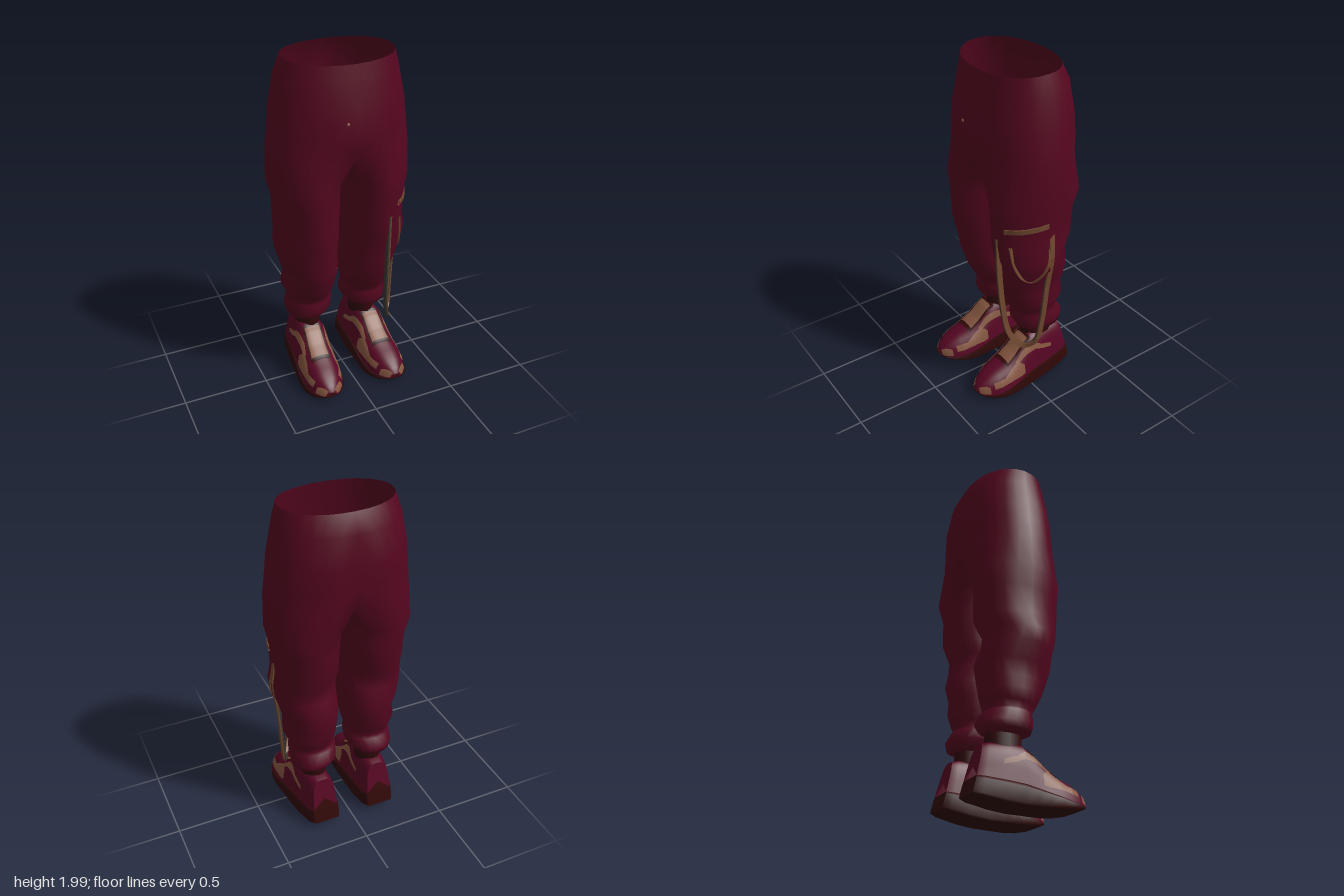
import * as THREE from 'three';
import { mergeVertices, mergeGeometries } from 'three/addons/utils/BufferGeometryUtils.js';

const mat = (name, color, side = THREE.DoubleSide) => {
  const m = new THREE.MeshStandardMaterial({ color, side });
  m.name = name;
  return m;
};
const spow = (v, p) => Math.sign(v) * Math.pow(Math.abs(v), p);

// Surface through a list of equal-length rings; side -1 mirrors it across x
function loft(rings, closed, side = 1) {
  const n = rings[0].length, pos = [], idx = [];
  rings.forEach(r => r.forEach(([x, y, z]) => pos.push(x * side, y, z)));
  for (let j = 0; j < rings.length - 1; j++) {
    for (let i = 0; i < (closed ? n : n - 1); i++) {
      const k = (i + 1) % n;
      const a = j * n + i, b = j * n + k, c = a + n, d = b + n;
      if (side > 0) idx.push(a, c, b, b, c, d);
      else idx.push(a, b, c, b, d, c);
    }
  }
  const g = new THREE.BufferGeometry();
  g.setAttribute('position', new THREE.Float32BufferAttribute(pos, 3));
  g.setIndex(idx);
  g.computeVertexNormals();
  return g;
}

// Linear lookup in a table whose first column is the key, in ascending order
function lookup(table, key) {
  let i = 0;
  while (i < table.length - 2 && key > table[i + 1][0]) i++;
  const a = table[i], b = table[i + 1];
  const t = Math.min(1, Math.max(0, (key - a[0]) / (b[0] - a[0])));
  return a.map((v, k) => v + (b[k] - v) * t);
}

// Hips: y, half width, front z, back z
const HIPS = [
  [2.0, 0.315, 0.17, -0.265], [1.9, 0.345, 0.185, -0.315], [1.73, 0.378, 0.215, -0.345],
  [1.6, 0.392, 0.22, -0.345], [1.5, 0.405, 0.22, -0.34],
];
// Leg: y, inner x, outer x, front z, back z
const LEG = [
  [0.385, 0.107, 0.253, -0.015, -0.217], [0.4, 0.075, 0.31, 0.025, -0.255], [0.44, 0.045, 0.315, 0.045, -0.27],
  [0.5, 0.04, 0.312, 0.04, -0.235], [0.515, 0.06, 0.3, 0.035, -0.22], [0.55, 0.045, 0.315, 0.06, -0.235],
  [0.61, 0.03, 0.342, 0.085, -0.25], [0.68, 0.022, 0.326, 0.115, -0.255], [0.77, 0.02, 0.35, 0.145, -0.28],
  [0.87, 0.018, 0.385, 0.165, -0.25], [0.95, 0.016, 0.395, 0.18, -0.235], [1.03, 0.015, 0.38, 0.19, -0.285],
  [1.2, 0.01, 0.385, 0.21, -0.3], [1.3, 0.006, 0.408, 0.213, -0.318],
];
const ARC = 14, INNER = 6;

function hipPoint([y, rx, zf, zb], a) {
  const c = Math.max(0, Math.cos(a)), s = Math.sin(a);
  const x = rx * Math.pow(c, 0.93);
  let z = (zf + zb) / 2 + (zf - zb) / 2 * spow(s, 0.93);
  if (s < 0 && y < 1.85) z += 0.025 * Math.exp(-x * x / 0.003);  // seat cleft
  return [c < 1e-6 ? 0 : x, y - (y > 1.95 && s > 0 ? 0.015 * s : 0), z];
}

function legPoint(y, a) {
  const [, xi, xo, zf, zb] = lookup(LEG, y);
  const s = Math.sin(a);
  const p = s > 0 && y > 0.8 ? 1.12 : 0.93;  // front of the thigh comes to a soft crease
  const fold = y > 0.52 ? 1 + 0.03 * Math.sin(2 * a + y * 17) * s * s : 1;
  return [
    (xi + xo) / 2 + (xo - xi) / 2 * spow(Math.cos(a), p),
    y,
    (zf + zb) / 2 + (zf - zb) / 2 * spow(s, p) * fold,
  ];
}

// Point on the outer face of the leg at a given height and depth
function onLeg(z, y, lift) {
  let best = null;
  for (let a = -1.5; a <= 1.5; a += 0.02) {
    const p = legPoint(y, a);
    if (!best || Math.abs(p[2] - z) < Math.abs(best[2] - z)) best = p;
  }
  return new THREE.Vector3(best[0] + lift, y, best[2] + lift * 0.5);
}

function trouserGeometry() {
  const parts = [];
  const arc = row => Array.from({ length: ARC + 1 }, (_, i) => hipPoint(row, Math.PI / 2 - Math.PI * i / ARC));
  // Leg top: half of the hip ring closed by the sagging crotch seam
  const top = arc(HIPS[HIPS.length - 1]);
  const front = top[0], back = top[ARC];
  for (let i = 1; i < INNER; i++) {
    const t = i / INNER;
    top.push([0, 1.5 - 0.15 * Math.pow(Math.sin(Math.PI * t), 0.6), back[2] + (front[2] - back[2]) * t]);
  }
  const split = 2.2;
  const angles = [];
  for (let i = 0; i <= ARC; i++) angles.push(split - 2 * split * i / ARC);
  for (let i = 1; i < INNER; i++) angles.push(-split - (2 * Math.PI - 2 * split) * i / INNER);
  const rings = [top, ...LEG.slice().reverse().map(r => angles.map(a => legPoint(r[0], a)))];
  for (const side of [1, -1]) parts.push(loft(HIPS.map(arc), false, side), loft(rings, true, side));
  parts.forEach(p => p.deleteAttribute('normal'));
  const g = mergeVertices(mergeGeometries(parts), 1e-4);
  g.computeVertexNormals();
  return g;
}

// Flat ribbon along a path lying mostly in the y-z plane, between two x offsets
function ribbon(path, half, x0, x1) {
  const curve = new THREE.CatmullRomCurve3(path);
  const rings = [];
  for (let i = 0; i <= 40; i++) {
    const p = curve.getPoint(i / 40), t = curve.getTangent(i / 40);
    const l = Math.hypot(t.y, t.z), ny = -t.z / l * half, nz = t.y / l * half;
    rings.push([[x0, -1], [x0, 1], [x1, 1], [x1, -1]].map(([dx, k]) => [p.x + dx, p.y + k * ny, p.z + k * nz]));
  }
  const g = loft(rings, true).toNonIndexed();
  g.computeVertexNormals();
  return g;
}

// Shoe: z, half width, top y, sole top y, sole bottom y
const SHOE = [
  [-0.31, 0.075, 0.32, 0.14, 0.05], [-0.27, 0.093, 0.33, 0.135, 0.04], [-0.15, 0.105, 0.34, 0.125, 0.02],
  [-0.05, 0.11, 0.335, 0.115, 0.01], [0.02, 0.113, 0.295, 0.1, 0.01], [0.08, 0.118, 0.24, 0.085, 0.01],
  [0.15, 0.12, 0.195, 0.07, 0.01], [0.22, 0.112, 0.17, 0.055, 0.015], [0.28, 0.088, 0.14, 0.05, 0.025],
  [0.32, 0.055, 0.11, 0.05, 0.04], [0.34, 0.025, 0.08, 0.055, 0.05],
];
const shoeX = z => 0.177 + 0.033 * (z + 0.31) / 0.65;
const lean = (z, y) => z < 0 ? z - z * 0.8 * (y - 0.1) : z;  // heel slopes forward

function upperPoint(z, s, lift = 0) {
  const [, w, h, ys] = lookup(SHOE, z);
  const t = s * Math.PI / 2, c = Math.max(0, Math.cos(t));
  const box = THREE.MathUtils.smoothstep(z, -0.08, 0.15);  // boxy ankle, round toe
  const cy = Math.pow(c, 0.5 + 0.2 * box);
  const x = (w + lift) * spow(Math.sin(t), 0.55 + 0.25 * box) * (1 - 0.2 * cy);
  const y = ys + (h - ys) * cy + lift * c;
  return [shoeX(z) + x, y, lean(z, y)];
}
// Thin patch on the shoe, rows of [z, s from, s to]
function patch(rows, lift, side) {
  const steps = [];
  for (let z = rows[0][0]; z < rows[rows.length - 1][0]; z += 0.01) steps.push(lookup(rows, z));
  steps.push(rows[rows.length - 1]);
  return loft(steps.map(([z, a, b]) =>
    Array.from({ length: 13 }, (_, i) => upperPoint(z, a + (b - a) * i / 12, lift))), false, side);
}
const flip = rows => rows.map(([z, a, b]) => [z, -b, -a]);

export function createModel() {
  const model = new THREE.Group();
  const cloth = mat('maroonCloth', 0x55061f);
  const leather = mat('maroonLeather', 0x560623);
  const dark = mat('darkBrown', 0x310808);
  const tan = mat('tan', 0x855640);
  const trim = mat('brownTrim', 0x70482f);
  const grey = mat('strapLining', 0x3c3830);
  const add = (name, geo, material, parent = model) => {
    const m = new THREE.Mesh(geo, material);
    m.name = name;
    parent.add(m);
    return m;
  };

  add('trousers', trouserGeometry(), cloth);
  add('waistButton', new THREE.SphereGeometry(0.01, 8, 6), tan).position.set(-0.055, 1.685, 0.211);

  // Pocket trim and hanging strap on the left leg
  const flap = [0.18, 0.13, 0.08, 0.03, -0.03].map((z, i) => onLeg(z, 1.15 + i * 0.005, 0.002));
  add('pocketFlapTrim', ribbon(flap, 0.014, -0.006, 0.004), trim);
  const seam = [[0.155, 1.05], [0.135, 0.93], [0.09, 0.84], [0.04, 0.81], [0, 0.84], [-0.03, 0.92], [-0.045, 1.02]];
  add('pocketSeam', ribbon(seam.map(([z, y]) => onLeg(z, y, 0.002)), 0.009, -0.006, 0.003), trim);
  const strap = [
    [0.215, 1.085, 0.182], [0.215, 0.85, 0.175], [0.222, 0.6, 0.155], [0.235, 0.44, 0.13], [0.258, 0.36, 0.095],
    [0.285, 0.317, 0.045], [0.318, 0.345, -0.01], [0.338, 0.5, -0.038], [0.358, 0.75, -0.05], [0.384, 0.95, -0.056],
    [0.372, 1.1, -0.06],
  ].map(p => new THREE.Vector3(...p));
  add('strapOuter', ribbon(strap, 0.016, 0, 0.008), trim);
  add('strapLining', ribbon(strap, 0.016, -0.009, 0), grey);

  // Shoes
  for (const side of [1, -1]) {
    const shoe = new THREE.Group();
    shoe.name = side > 0 ? 'leftShoe' : 'rightShoe';
    model.add(shoe);
    const upper = SHOE.map(([z]) => Array.from({ length: 25 }, (_, i) => upperPoint(z, -1 + i / 12)));
    const sole = SHOE.map(([z, w, , ys, yb]) =>
      [[0.98, ys], [1.05, ys - (ys - yb) * 0.15], [1.07, yb + 0.008], [0.95, yb], [-0.95, yb],
        [-1.07, yb + 0.008], [-1.05, ys - (ys - yb) * 0.15], [-0.98, ys]]
        .map(([k, y]) => [shoeX(z) + k * w, y, lean(z, y)]));
    const cap = (ring, y, z) => [ring.map(() => [shoeX(z), y, lean(z, y)]), ring];
    add('upper', loft(upper, false, side), leather, shoe);
    add('heelBack', loft(cap(upper[0], 0.2, -0.31), false, side), leather, shoe);
    add('sole', loft(sole, true, side), dark, shoe);
    add('soleHeel', loft(cap(sole[0], 0.09, -0.31), true, side), dark, shoe);
    add('soleToe', loft(cap(sole[sole.length - 1], 0.053, 0.34).reverse(), true, side), dark, shoe);
    add('laceBorder', patch([[-0.03, -0.3, 0.3], [0.16, -0.38, 0.38]], 0.003, side), dark, shoe);
    add('lacePanel', patch([[-0.01, -0.2, 0.2], [0.06, -0.24, 0.24], [0.14, -0.3, 0.3]], 0.007, side), tan, shoe);
    const guard = [[0.05, 0.8, 0.97], [0.09, 0.52, 0.95], [0.14, 0.55, 0.9], [0.19, 0.68, 0.88], [0.26, 0.6, 0.86]];
    const stripe = [[-0.18, 0.84, 0.91], [-0.1, 0.74, 0.85], [-0.02, 0.5, 0.72], [0.05, 0.4, 0.62], [0.1, 0.48, 0.62]];
    const toe = [[0.285, 0.7, 0.97], [0.335, 0.35, 0.97]];
    for (const f of [r => r, flip]) {
      add('toeTrim', patch(f(toe), 0.004, side), tan, shoe);
      add('toeGuard', patch(f(guard), 0.004, side), tan, shoe);
      add('sideStripe', patch(f(stripe), 0.005, side), tan, shoe);
    }
    const sock = new THREE.CylinderGeometry(1, 1, 0.13, 16).scale(0.074, 1, 0.102);
    add('sock', sock.translate(side * 0.18, 0.33, -0.117), dark, shoe);
  }
  return model;
}
